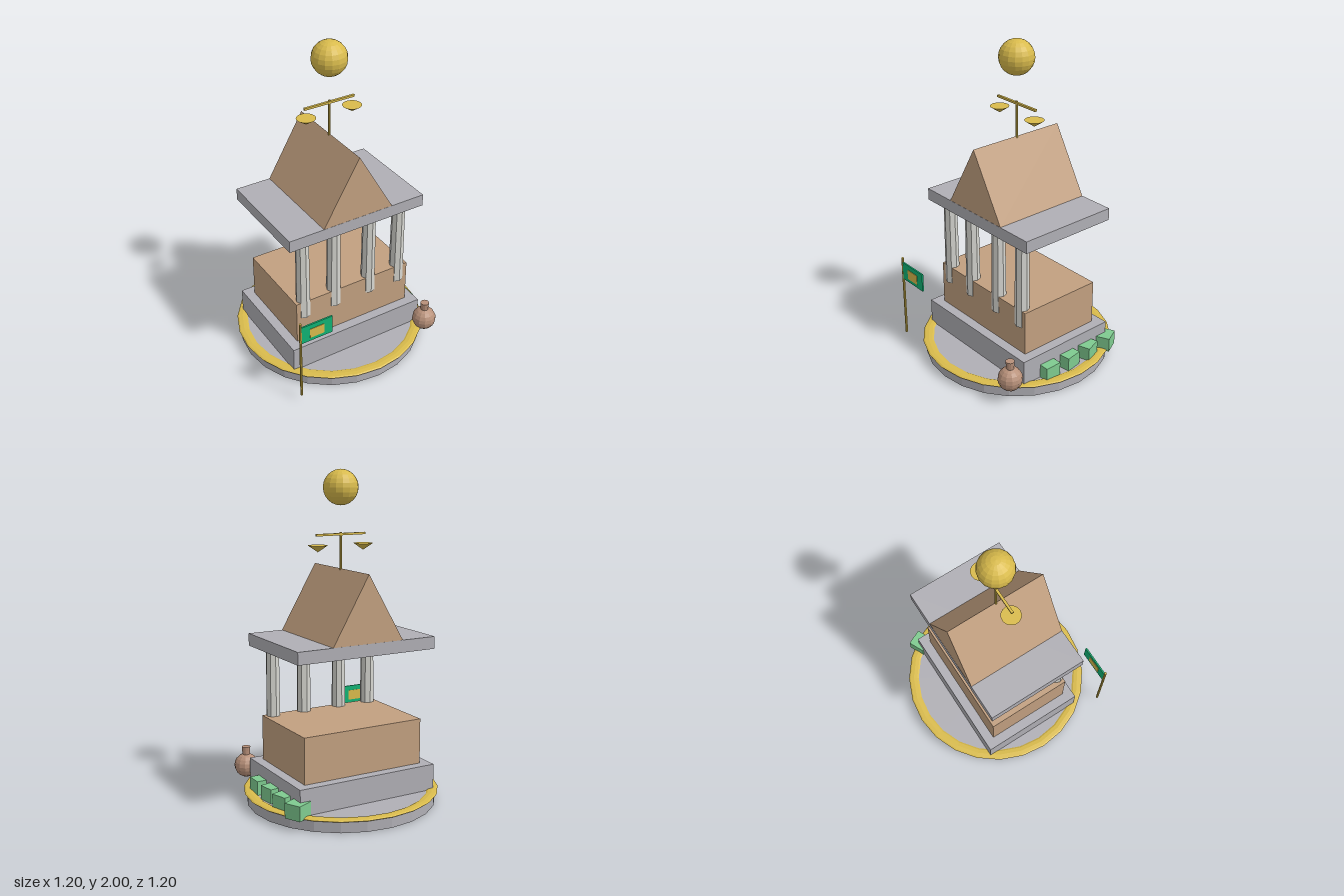
import * as THREE from 'three';

const mat = (name, color) => {
  const m = new THREE.MeshStandardMaterial({ color, flatShading: true });
  m.name = name;
  return m;
};

export function createModel() {
  const stone = mat('grey stone', 0xb0afb5);
  const tan = mat('tan sandstone', 0xc2a080);
  const marble = mat('pale marble', 0xd6d6d0);
  const gold = mat('gold', 0xd9bb4c);
  const clay = mat('brown clay', 0xb8917a);
  const leaf = mat('light green', 0x7fcb90);
  const flagGreen = mat('flag green', 0x10b274);

  const model = new THREE.Group();
  model.name = 'temple';

  const add = (name, geometry, material, x, y, z, parent = model) => {
    const mesh = new THREE.Mesh(geometry, material);
    mesh.name = name;
    mesh.position.set(x, y, z);
    parent.add(mesh);
    return mesh;
  };
  const group = (name) => {
    const g = new THREE.Group();
    g.name = name;
    model.add(g);
    return g;
  };
  const box = (w, h, d) => new THREE.BoxGeometry(w, h, d);
  const cyl = (top, bottom, h, sides) => new THREE.CylinderGeometry(top, bottom, h, sides);

  // Round base with a flattened gold rim
  add('base', cyl(0.58, 0.58, 0.07, 24), stone, 0, 0.035, 0);
  const rim = new THREE.TorusGeometry(0.565, 0.033, 8, 24);
  rim.rotateX(Math.PI / 2).scale(1, 0.24, 1);
  add('goldRim', rim, gold, 0, 0.072, 0);

  // Stepped body and entablature
  add('podium', box(0.916, 0.16, 0.672), stone, 0, 0.15, 0);
  add('hall', box(0.794, 0.28, 0.55), tan, 0, 0.37, 0);
  add('roofSlab', box(0.916, 0.075, 0.642), stone, 0, 0.9825, 0);

  // Front colonnade
  const columns = group('columns');
  for (const x of [-0.336, -0.124, 0.124, 0.336]) {
    add('column', cyl(0.041, 0.045, 0.545, 8), marble, x, 0.6725, 0.246, columns);
  }

  // Gabled roof
  const gable = new THREE.Shape([
    new THREE.Vector2(-0.233, 0), new THREE.Vector2(0.233, 0), new THREE.Vector2(0, 0.4),
  ]);
  const roof = new THREE.ExtrudeGeometry(gable, { depth: 0.64, bevelEnabled: false });
  add('gableRoof', roof, tan, 0, 1.02, -0.32);

  // Balance scale on the ridge
  const scale = group('balanceScale');
  add('post', cyl(0.007, 0.007, 0.225, 8), gold, 0, 1.5225, 0, scale);
  add('beam', box(0.332, 0.013, 0.015), gold, 0, 1.622, 0, scale);
  for (const side of [-1, 1]) {
    const pan = new THREE.ConeGeometry(0.058, 0.04, 16).rotateX(Math.PI);
    add('pan', pan, gold, side * 0.154, 1.543, 0, scale);
  }

  // Floating orb
  add('orb', new THREE.SphereGeometry(0.105, 16, 12), gold, 0, 1.895, 0);

  // Flag at the front right corner
  const flag = group('flag');
  add('flagPole', cyl(0.008, 0.008, 0.545, 8), gold, -0.505, 0.309, 0.505, flag);
  add('flagCloth', box(0.21, 0.118, 0.01), flagGreen, -0.398, 0.494, 0.505, flag);
  add('flagPanel', box(0.096, 0.064, 0.015), gold, -0.397, 0.49, 0.505, flag);

  // Clay urn at the front left corner
  const urn = group('urn');
  add('urnBody', new THREE.SphereGeometry(0.075, 12, 10), clay, 0.442, 0.156, 0.428, urn);
  add('urnNeck', cyl(0.027, 0.023, 0.052, 12), clay, 0.442, 0.25, 0.428, urn);

  // Curving row of green blocks along the left side
  const blocks = group('greenBlocks');
  [0.155, -0.005, -0.161, -0.319].forEach((z, i) => {
    add('block', box(0.106, 0.09, 0.106), leaf, 0.465, 0.111, z, blocks).rotation.y = i * 0.15;
  });

  return model;
}
